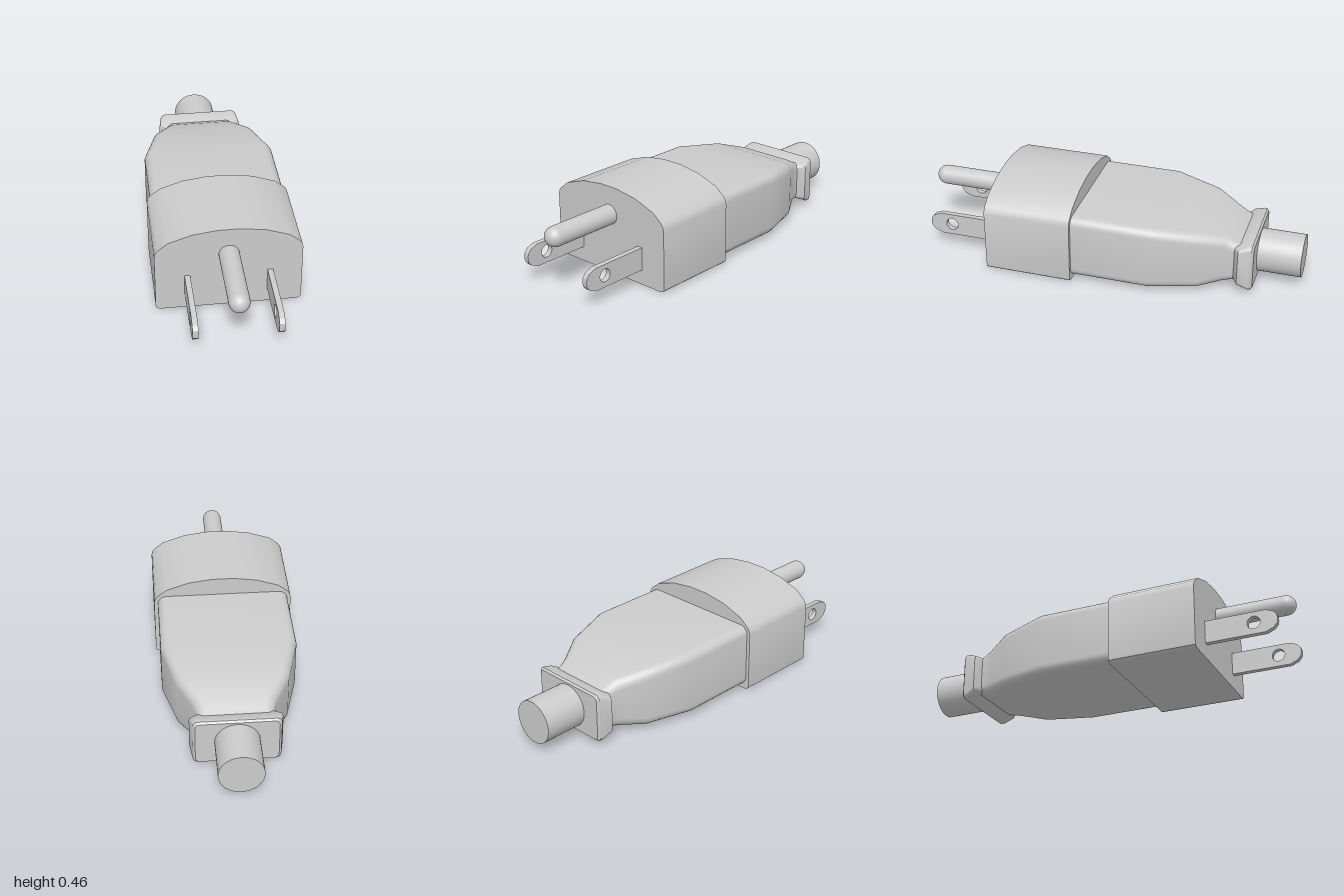
import * as THREE from 'three';
import { toCreasedNormals } from 'three/addons/utils/BufferGeometryUtils.js';

const material = new THREE.MeshStandardMaterial({ color: 0xcccccc });

function part(name, geometry) {
  const mesh = new THREE.Mesh(geometry, material);
  mesh.name = name;
  return mesh;
}

// Counter-clockwise rounded rectangle: half width w, from y0 to y1, corner radius r
function roundedSection([z, w, y0, y1, r], steps = 6) {
  const corners = [[w - r, y0 + r], [w - r, y1 - r], [-w + r, y1 - r], [-w + r, y0 + r]];
  const ring = [];
  corners.forEach(([cx, cy], k) => {
    for (let i = 0; i <= steps; i++) {
      const a = (k - 1 + i / steps) * Math.PI / 2;
      ring.push([cx + r * Math.cos(a), cy + r * Math.sin(a), z]);
    }
  });
  return ring;
}

// Skin over sections ordered from front to back, closed at both ends
function loft(sections) {
  const rings = sections.map(s => roundedSection(s));
  const n = rings[0].length, last = (rings.length - 1) * n;
  const index = [];
  for (let i = 0; i < rings.length - 1; i++) {
    for (let j = 0; j < n; j++) {
      const a = i * n + j, b = i * n + (j + 1) % n;
      index.push(a, a + n, b, b, a + n, b + n);
    }
  }
  for (let j = 1; j < n - 1; j++) {
    index.push(0, j, j + 1, last, last + j + 1, last + j);
  }
  const geometry = new THREE.BufferGeometry();
  geometry.setAttribute('position', new THREE.Float32BufferAttribute(rings.flat(2), 3));
  geometry.setIndex(index);
  return toCreasedNormals(geometry, 0.6);
}

// Collar: flat base, straight sides and a faceted arch
function collarGeometry() {
  const half = [[0.34, 0], [0.352, 0.004], [0.36, 0.011], [0.362, 0.022], [0.362, 0.322],
    [0.357, 0.343], [0.345, 0.36], [0.295, 0.4], [0.178, 0.44], [0.055, 0.457]];
  const mirrored = half.map(([x, y]) => [-x, y]).reverse();
  const shape = new THREE.Shape([...half, ...mirrored].map(p => new THREE.Vector2(...p)));
  const geometry = new THREE.ExtrudeGeometry(shape, { depth: 0.455, bevelEnabled: false });
  geometry.translate(0, 0, 0.137);
  return toCreasedNormals(geometry, 0.6);
}

// Flat blade with a tapered tip and a hole, drawn as (z, y) and turned to face x
function bladeGeometry() {
  const thickness = 0.028;
  const outline = [[0.56, 0.079], [0.9, 0.079], [0.94, 0.097], [0.957, 0.118],
    [0.96, 0.14], [0.957, 0.162], [0.94, 0.182], [0.9, 0.197], [0.56, 0.197]];
  const shape = new THREE.Shape(outline.map(p => new THREE.Vector2(...p)));
  const hole = new THREE.Path();
  hole.absarc(0.84, 0.14, 0.033, 0, Math.PI * 2, true);
  shape.holes.push(hole);
  const geometry = new THREE.ExtrudeGeometry(shape, { depth: thickness, bevelEnabled: false, curveSegments: 20 });
  geometry.translate(0, 0, -thickness / 2);
  geometry.rotateY(-Math.PI / 2);
  return toCreasedNormals(geometry, 0.5);
}

// Round pin with a domed end, turned to point forward
function pinGeometry() {
  const r = 0.051, profile = [new THREE.Vector2(r, 0.56)];
  for (let i = 0; i <= 8; i++) {
    const a = i / 8 * Math.PI / 2;
    profile.push(new THREE.Vector2(r * Math.cos(a), 1 - r + r * Math.sin(a)));
  }
  return new THREE.LatheGeometry(profile, 32).rotateX(Math.PI / 2).translate(0, 0.311, 0);
}

export function createModel() {
  const group = new THREE.Group();
  group.name = 'powerPlug';

  group.add(part('collar', collarGeometry()));

  // Grip tapering to a neck: z, half width, bottom, top, corner radius
  group.add(part('grip', loft([
    [0.15, 0.343, 0.022, 0.36, 0.045],
    [-0.26, 0.343, 0.022, 0.36, 0.045],
    [-0.5, 0.277, 0.022, 0.332, 0.05],
    [-0.625, 0.202, 0.038, 0.295, 0.05],
    [-0.67, 0.19, 0.046, 0.272, 0.045],
    [-0.7, 0.19, 0.055, 0.257, 0.04],
  ])));

  // Flared flange behind the neck
  group.add(part('flange', loft([
    [-0.672, 0.186, 0.06, 0.25, 0.025],
    [-0.7, 0.228, 0.052, 0.258, 0.025],
    [-0.75, 0.218, 0.026, 0.278, 0.025],
    [-0.766, 0.214, 0.024, 0.279, 0.025],
    [-0.776, 0.203, 0.032, 0.27, 0.025],
  ])));

  // Cable stub
  const cable = new THREE.CylinderGeometry(0.111, 0.111, 0.24, 40);
  cable.rotateX(Math.PI / 2).translate(0, 0.15, -0.88);
  group.add(part('cable', cable));

  // Prongs
  group.add(part('groundPin', pinGeometry()));
  const blade = bladeGeometry();
  for (const [name, side] of [['leftBlade', 1], ['rightBlade', -1]]) {
    const mesh = part(name, blade);
    mesh.position.x = side * 0.204;
    group.add(mesh);
  }
  return group;
}
